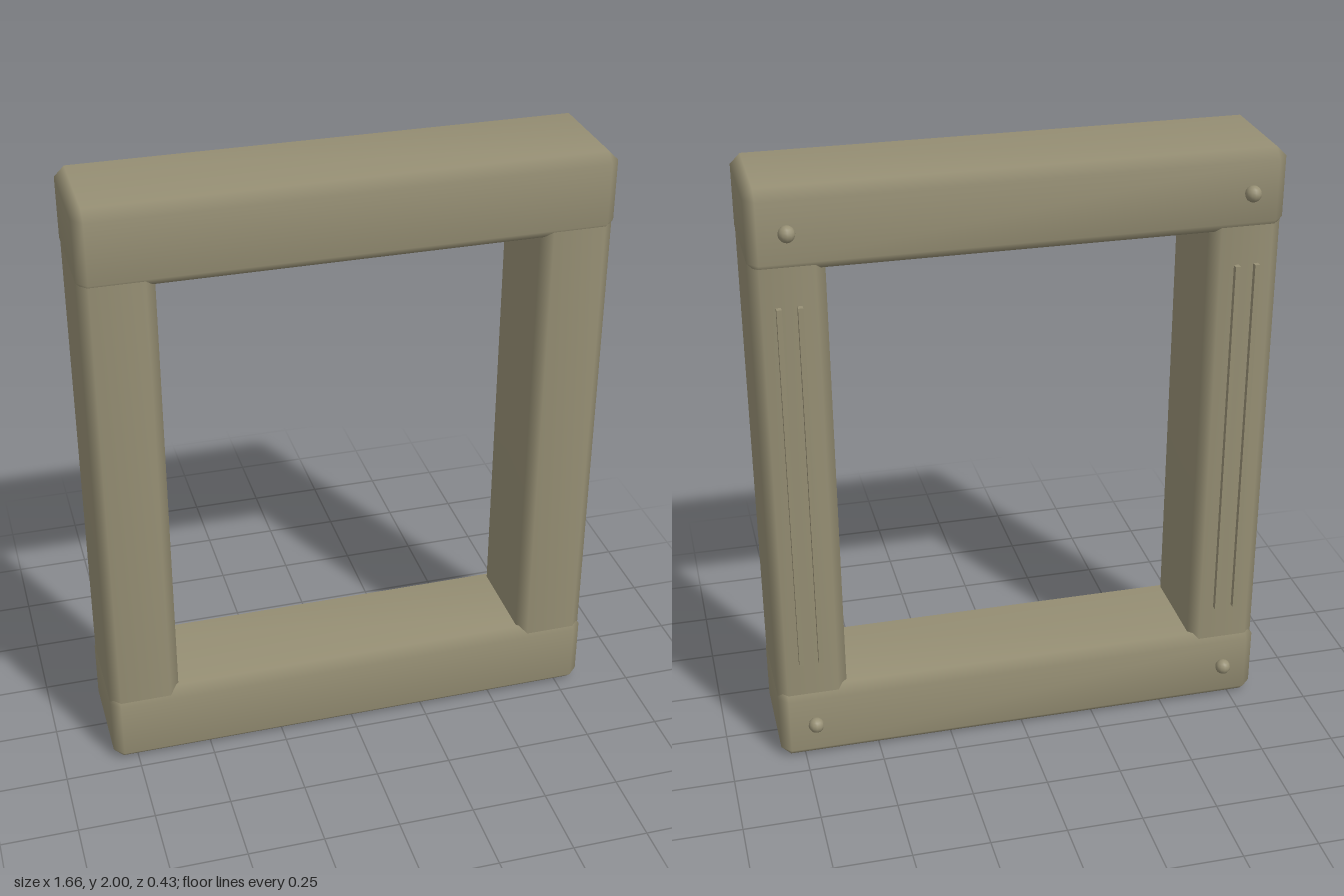
import * as THREE from 'three';
import { ConvexGeometry } from 'three/addons/geometries/ConvexGeometry.js';
import { mergeVertices } from 'three/addons/utils/BufferGeometryUtils.js';

// Box with chamfered edges, shaded smoothly across the chamfers
function chamferBox(w, h, d, c) {
  const points = [];
  for (const sx of [-1, 1]) for (const sy of [-1, 1]) for (const sz of [-1, 1]) {
    const x = sx * w / 2, y = sy * h / 2, z = sz * d / 2;
    points.push(
      new THREE.Vector3(x, y - sy * c, z - sz * c),
      new THREE.Vector3(x - sx * c, y, z - sz * c),
      new THREE.Vector3(x - sx * c, y - sy * c, z));
  }
  const hull = new ConvexGeometry(points);
  hull.deleteAttribute('normal');
  const geometry = mergeVertices(hull, 1e-4);
  geometry.computeVertexNormals();
  return geometry;
}

export function createModel() {
  const group = new THREE.Group();
  group.name = 'windowFrame';
  const paint = new THREE.MeshStandardMaterial({ color: 0x968f74 });
  paint.name = 'khakiPaint';

  const add = (name, geometry, x, y, z) => {
    const mesh = new THREE.Mesh(geometry, paint);
    mesh.name = name;
    mesh.position.set(x, y, z);
    group.add(mesh);
  };

  const rail = chamferBox(1.66, 0.26, 0.39, 0.032);
  const post = chamferBox(0.232, 1.998, 0.364, 0.032);
  const rib = new THREE.BoxGeometry(0.016, 1.26, 0.03);
  const bolt = new THREE.SphereGeometry(0.026, 12, 8);

  // Top and bottom rails
  add('topRail', rail, 0, 1.87, 0.018);
  add('bottomRail', rail, 0, 0.13, 0.018);

  for (const side of [1, -1]) {
    const label = side > 0 ? 'left' : 'right';
    // Upright post, slightly shallower than the rails
    add(label + 'Post', post, side * 0.713, 1, 0.021);
    // Pair of raised ribs on the back of the post
    for (const x of [0.683, 0.747]) add(label + 'Rib', rib, side * x, 1, -0.165);
    // Round bolt heads on the back corners
    add(label + 'TopBolt', bolt, side * 0.713, 1.87, -0.19);
    add(label + 'BottomBolt', bolt, side * 0.713, 0.135, -0.19);
  }
  return group;
}
